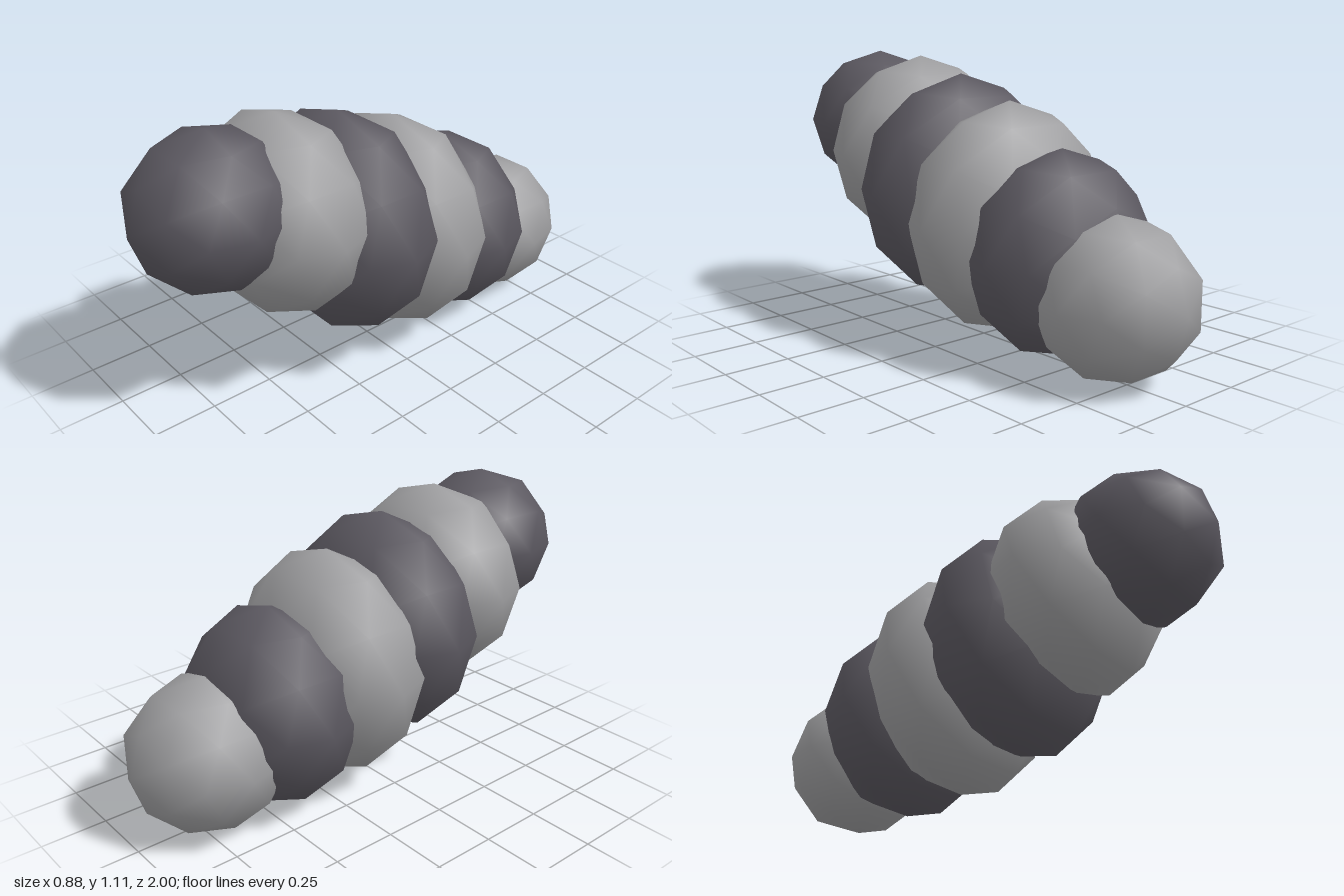
import * as THREE from 'three';

export function createModel() {
  const group = new THREE.Group();
  const dark = new THREE.MeshStandardMaterial({ name: 'dark grey', color: 0x5b5860 });
  const light = new THREE.MeshStandardMaterial({ name: 'light grey', color: 0x9e9ea0 });

  // one low-poly ball with smooth normals, shared by all segments
  const ball = new THREE.IcosahedronGeometry(1, 1);

  // body segments from head to tail: name, centre (x, y, z), half width, half height
  const segments = [
    ['head', 0, 0.82, 0.69, 0.293, 0.295],
    ['neckSegment', -0.008, 0.715, 0.41, 0.392, 0.385],
    ['chestSegment', 0, 0.593, 0.138, 0.438, 0.443],
    ['middleSegment', -0.008, 0.5, -0.138, 0.43, 0.445],
    ['rearSegment', -0.01, 0.405, -0.414, 0.377, 0.385],
    ['tail', 0, 0.296, -0.69, 0.293, 0.295],
  ];
  segments.forEach(([name, x, y, z, rx, ry], i) => {
    const mesh = new THREE.Mesh(ball, i % 2 ? light : dark);
    mesh.name = name;
    mesh.position.set(x, y, z);
    mesh.scale.set(rx, ry, 0.31);
    group.add(mesh);
  });
  return group;
}
